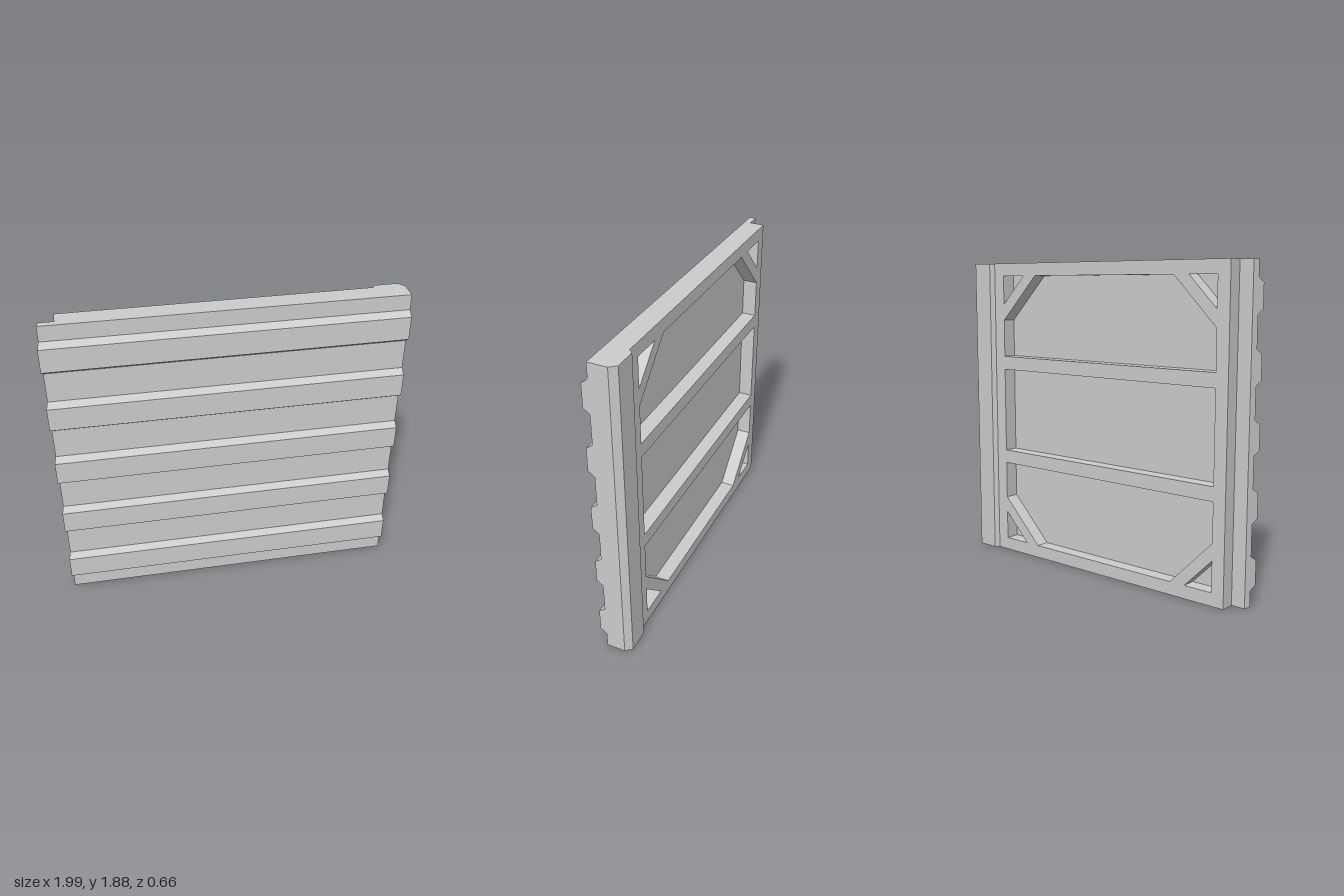
import * as THREE from 'three';

const HEIGHT = 1.88;
const ANGLE = Math.atan(0.24); // the panel stands turned about y
const FLOOR = 0.005, FACE = 0.045, RIDGE = 0.083, BACK = -0.081; // depth levels
const END = 1.003;

// Left end is cut square to the world x axis
const cutAt = (w) => (-1 - w * Math.sin(ANGLE)) / Math.cos(ANGLE);

const polygon = (points, Type = THREE.Shape) =>
  new Type(points.map(([x, y]) => new THREE.Vector2(x, y)));

const extrude = (shape, depth) =>
  new THREE.ExtrudeGeometry(shape, { depth, bevelEnabled: false });

// Front sheet with the thick edge strip, one profile drawn up the height
function sheetGeometry() {
  const profile = [
    [cutAt(FLOOR), FLOOR], [cutAt(FACE), FACE], [END, FACE], [END, -0.068],
    [0.972, -0.106], [0.838, -0.106], [0.818, BACK], [0.79, BACK], [0.79, FLOOR],
  ];
  return extrude(polygon(profile.map(([u, w]) => [u, -w])), HEIGHT).rotateX(-Math.PI / 2);
}

// Back frame: two crossbars, and a diagonal brace in each corner
function frameGeometry() {
  const u0 = -0.869, u1 = 0.738, v0 = 0.078, v1 = HEIGHT - v0;
  const barLow = 0.59, barHigh = 0.674, leg = 0.18, cut = 0.28;
  const shape = polygon([[-0.947, 0], [0.79, 0], [0.79, HEIGHT], [-0.947, HEIGHT]]);
  const addHole = (points) => shape.holes.push(polygon(points, THREE.Path));
  addHole([[u0, barHigh], [u1, barHigh], [u1, HEIGHT - barHigh], [u0, HEIGHT - barHigh]]);
  for (const [v, dir, bar] of [[v0, 1, barLow], [v1, -1, HEIGHT - barLow]]) {
    addHole([[u0 + cut, v], [u1 - cut, v], [u1, v + dir * cut], [u1, bar], [u0, bar], [u0, v + dir * cut]]);
    addHole([[u0, v], [u0 + leg, v], [u0, v + dir * leg]]);
    addHole([[u1, v], [u1 - leg, v], [u1, v + dir * leg]]);
  }
  return extrude(shape, FLOOR - BACK).translate(0, 0, BACK);
}

// Horizontal rib with sloped top and bottom
function ribGeometry() {
  const section = [[-FACE, 0.093], [-FACE, 0.288], [-RIDGE, 0.26], [-RIDGE, 0.12]];
  const geometry = extrude(polygon(section), 2 * END).rotateY(Math.PI / 2).translate(-END, 0, 0);
  const pos = geometry.attributes.position;
  for (let i = 0; i < pos.count; i++) {
    if (pos.getX(i) < 0) pos.setX(i, cutAt(pos.getZ(i)));
  }
  geometry.computeVertexNormals();
  return geometry;
}

export function createModel() {
  const model = new THREE.Group();
  model.name = 'ribbedPanel';
  const panel = new THREE.Group();
  panel.name = 'panel';
  panel.rotation.y = ANGLE;
  model.add(panel);

  const material = new THREE.MeshStandardMaterial({ color: 0xcccccc, flatShading: true });
  const add = (geometry, name) => {
    const mesh = new THREE.Mesh(geometry, material);
    mesh.name = name;
    panel.add(mesh);
    return mesh;
  };

  add(sheetGeometry(), 'frontSheet');
  add(frameGeometry(), 'backFrame');
  const rib = ribGeometry();
  for (let i = 0; i < 5; i++) add(rib, `rib${i + 1}`).position.y = i * 0.375;
  return model;
}
